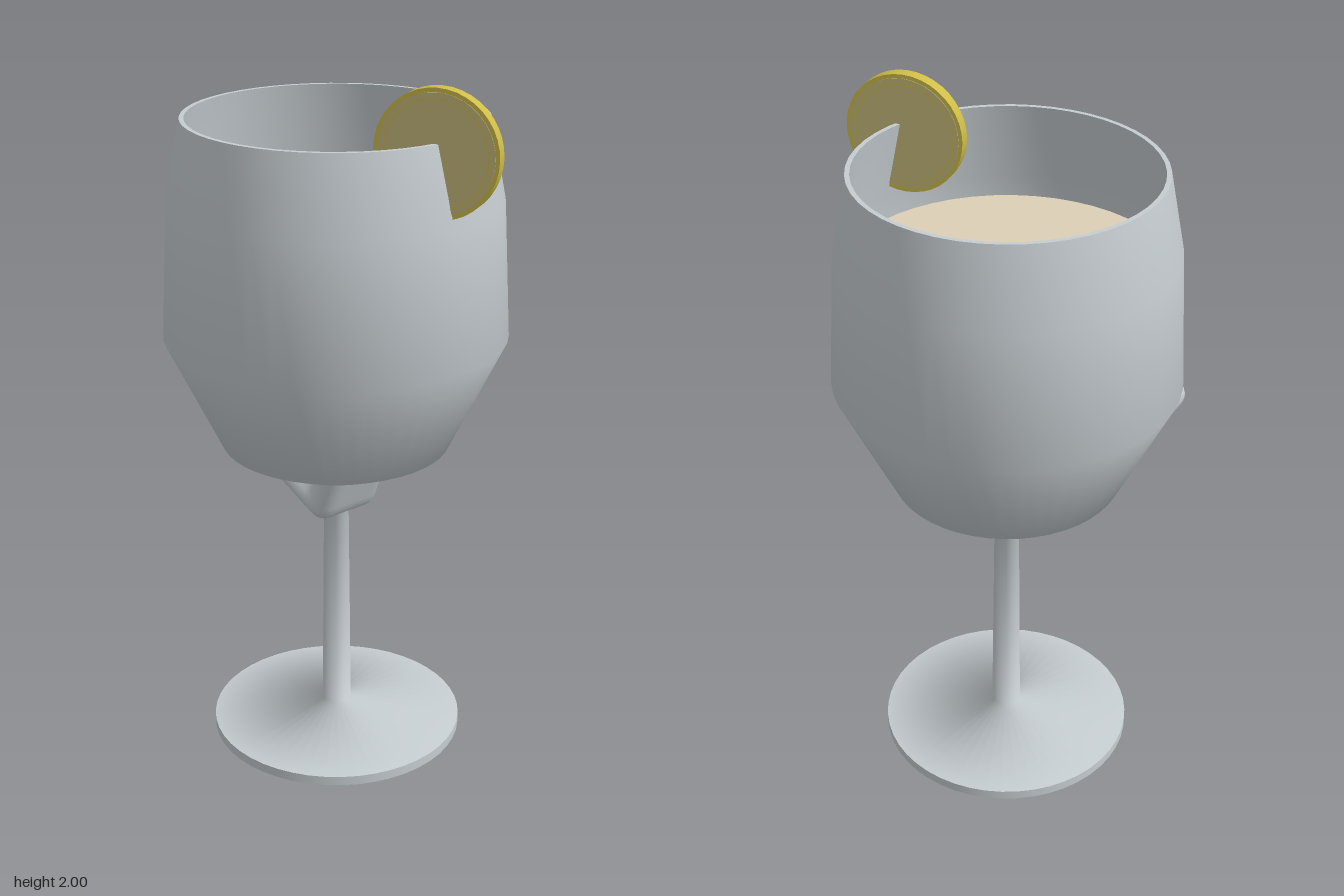
import * as THREE from 'three';
import { mergeVertices } from 'three/addons/utils/BufferGeometryUtils.js';

const AXIS_X = -0.04; // the glass stands slightly off centre, balanced by the fruit slice

export function createModel() {
  const mat = (name, color, side = THREE.FrontSide) => {
    const m = new THREE.MeshStandardMaterial({ color, side });
    m.name = name;
    return m;
  };
  const glassMat = mat('glass', 0xc6cdd1, THREE.DoubleSide);
  const drinkMat = mat('drink', 0xdccfb6);
  const peelMat = mat('peel', 0xcfbd48);
  const pulpMat = mat('pulp', 0xc6b97c);

  const model = new THREE.Group();
  model.name = 'cocktailGlass';
  const add = (parent, name, geometry, material) => {
    const mesh = new THREE.Mesh(geometry, material);
    mesh.name = name;
    parent.add(mesh);
    return mesh;
  };
  const lathe = (points) =>
    new THREE.LatheGeometry(points.map(([r, y]) => new THREE.Vector2(r, y)), 48);

  // Glass: foot, stem and bowl turned around one axis
  const glass = new THREE.Group();
  glass.name = 'glass';
  glass.position.x = AXIS_X;
  model.add(glass);
  add(glass, 'footUnderside', lathe([[0, 0], [0.37, 0]]), glassMat);
  add(glass, 'footEdge', lathe([[0.37, 0], [0.37, 0.028]]), glassMat);
  add(glass, 'footStemAndBowl', lathe([
    [0.37, 0.028], [0.043, 0.075], [0.035, 0.79],
    [0.325, 0.93], [0.48, 1.255], [0.458, 1.64], [0.415, 1.86],
  ]), glassMat);
  add(glass, 'lip', lathe([[0.415, 1.86], [0.402, 1.86]]), glassMat);
  add(glass, 'innerWall', lathe([[0.402, 1.86], [0.446, 1.635], [0.452, 1.54]]), glassMat);

  // Drink: a body just inside the bowl, closed by a flat surface
  add(glass, 'drinkBody', lathe([
    [0, 0.81], [0.31, 0.945], [0.465, 1.26], [0.45, 1.57],
  ]), drinkMat);
  const surface = add(glass, 'drinkSurface', new THREE.CircleGeometry(0.452, 48), drinkMat);
  surface.rotation.x = -Math.PI / 2;
  surface.position.y = 1.57;

  // Ice: rounded blocks with one hollowed face, each set by a corner and two edge directions
  const size = new THREE.Vector3(0.22, 0.28, 0.28);
  const iceGeometry = () => {
    const g = new THREE.BoxGeometry(size.x, size.y, size.z, 14, 14, 14);
    const pos = g.attributes.position;
    const radius = 0.045;
    const inner = size.clone().multiplyScalar(0.5).subScalar(radius);
    const p = new THREE.Vector3();
    const c = new THREE.Vector3();
    for (let i = 0; i < pos.count; i++) {
      p.fromBufferAttribute(pos, i);
      c.copy(p).clamp(inner.clone().negate(), inner);
      p.sub(c).normalize().multiplyScalar(radius).add(c);
      if (p.x < -inner.x) {
        const fy = Math.max(0, 1 - (p.y / inner.y) ** 2);
        const fz = Math.max(0, 1 - (p.z / inner.z) ** 2);
        p.x += 0.05 * fy * fz;
      }
      pos.setXYZ(i, p.x, p.y, p.z);
    }
    g.deleteAttribute('normal');
    g.deleteAttribute('uv');
    const merged = mergeVertices(g);
    merged.computeVertexNormals();
    return merged;
  };
  const iceShape = iceGeometry();
  const addIce = (name, corner, edgeA, edgeB) => {
    const a = new THREE.Vector3(...edgeA).normalize();
    const b = new THREE.Vector3(...edgeB);
    b.addScaledVector(a, -a.dot(b)).normalize();
    const c = a.clone().cross(b);
    const mesh = add(model, name, iceShape, glassMat);
    mesh.quaternion.setFromRotationMatrix(new THREE.Matrix4().makeBasis(a, b, c));
    mesh.position.set(...corner)
      .addScaledVector(a, size.x / 2)
      .addScaledVector(b, size.y / 2)
      .addScaledVector(c, size.z / 2);
  };
  addIce('iceTop', [-0.14, 1.66, 0.19], [0.05, -0.09, -0.1], [0.13, -0.09, 0.16]);
  addIce('iceBottom', [0.1, 0.75, 0.185], [0, 0, -1], [-0.927, 0.375, 0]);
  addIce('iceSide', [-0.43, 1.215, 0.342], [0.434, 0.816, -0.38], [0.9, -0.41, 0.15]);

  // Fruit slice on the rim
  const slice = new THREE.Group();
  slice.name = 'fruitSlice';
  slice.position.set(0.36, 1.832, 0);
  slice.rotation.y = Math.PI * 0.15;
  model.add(slice);
  const peel = add(slice, 'peel', new THREE.CylinderGeometry(0.168, 0.168, 0.034, 40), peelMat);
  peel.rotation.x = Math.PI / 2;
  const pulp = add(slice, 'pulp', new THREE.CylinderGeometry(0.157, 0.157, 0.037, 40), pulpMat);
  pulp.rotation.x = Math.PI / 2;
  // Thin ring between pulp and peel on both faces
  for (const s of [1, -1]) {
    const ring = add(slice, 'pulpRing', new THREE.RingGeometry(0.139, 0.142, 40), peelMat);
    ring.position.z = s * 0.0195;
    if (s < 0) ring.rotation.y = Math.PI;
  }

  return model;
}
